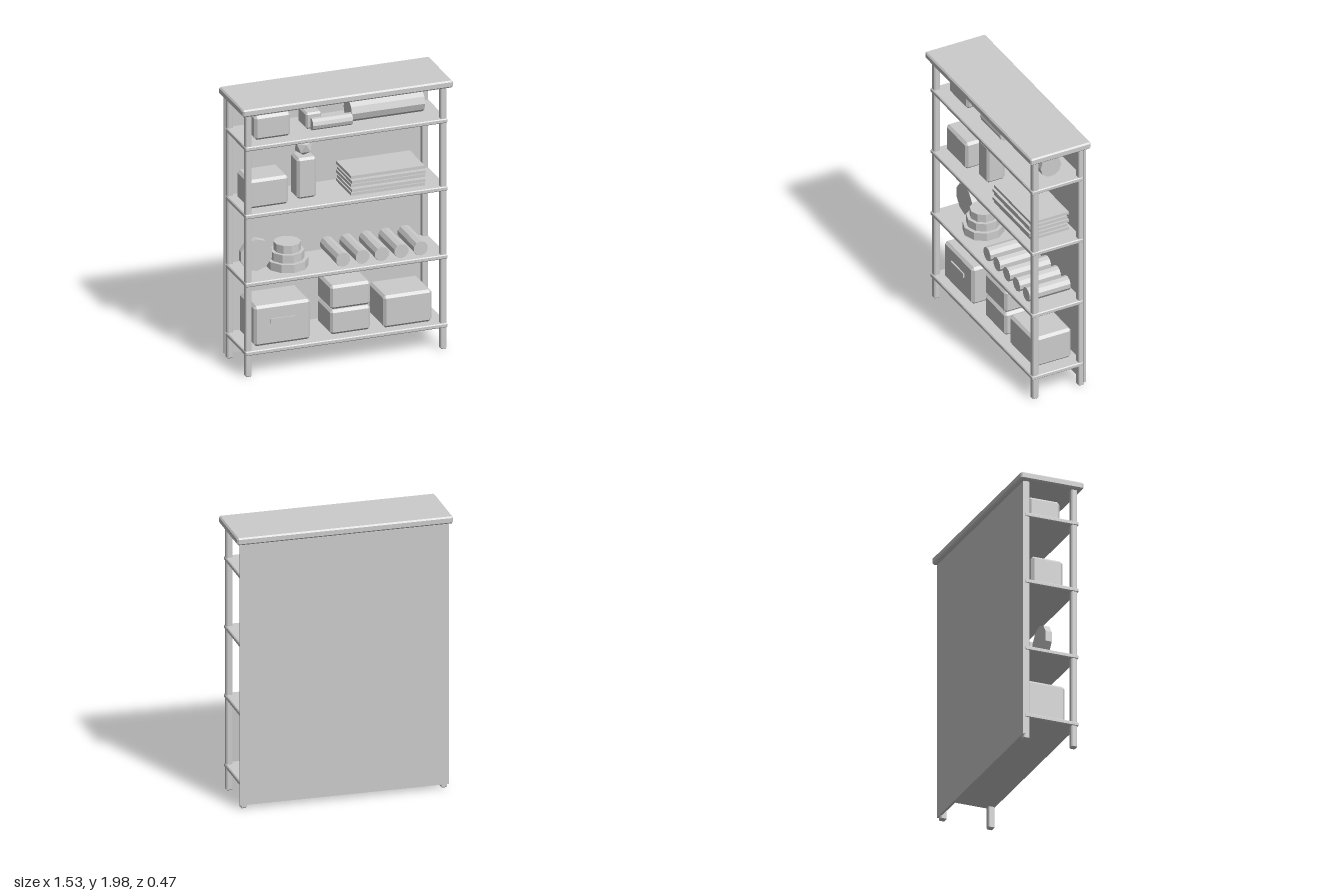
import * as THREE from 'three';
import { ConvexGeometry } from 'three/addons/geometries/ConvexGeometry.js';

export function createModel() {
  const group = new THREE.Group();
  const material = new THREE.MeshStandardMaterial({ color: 0xcccccc, flatShading: true });

  function add(name, geometry, x, y, z) {
    const mesh = new THREE.Mesh(geometry, material);
    mesh.name = name;
    mesh.position.set(x, y, z);
    group.add(mesh);
    return mesh;
  }

  // Box given by its limits on each axis, with chamfered edges (bevel 0 = plain box)
  function block(name, [x0, x1], [y0, y1], [z0, z1], bevel = 0) {
    const half = [(x1 - x0) / 2, (y1 - y0) / 2, (z1 - z0) / 2];
    let geometry;
    if (bevel === 0) {
      geometry = new THREE.BoxGeometry(half[0] * 2, half[1] * 2, half[2] * 2);
    } else {
      const points = [];
      for (const sx of [-1, 1]) for (const sy of [-1, 1]) for (const sz of [-1, 1]) {
        for (let full = 0; full < 3; full++) {
          const p = half.map((h, axis) => (axis === full ? h : h - bevel));
          points.push(new THREE.Vector3(p[0] * sx, p[1] * sy, p[2] * sz));
        }
      }
      geometry = new ConvexGeometry(points);
    }
    return add(name, geometry, (x0 + x1) / 2, (y0 + y1) / 2, (z0 + z1) / 2);
  }

  // Ten-sided cylinder along the chosen axis
  function drum(name, radius, length, axis, x, y, z) {
    const geometry = new THREE.CylinderGeometry(radius, radius, length, 10);
    if (axis === 'x') geometry.rotateZ(Math.PI / 2);
    if (axis === 'z') geometry.rotateX(Math.PI / 2);
    return add(name, geometry, x, y, z);
  }

  // Frame: top board, back panel, legs and shelves
  block('topBoard', [-0.765, 0.765], [1.948, 2], [-0.233, 0.233], 0.01);
  block('backPanel', [-0.74, 0.74], [0.045, 1.94], [-0.207, -0.19]);
  for (const sx of [-1, 1]) for (const sz of [-1, 1]) {
    const x = sx * 0.709, z = sz * 0.177;
    block(sz > 0 ? 'frontLeg' : 'backLeg', [x - 0.022, x + 0.022], [0.018, 1.955], [z - 0.022, z + 0.022], 0.006);
  }
  const shelfTops = [0.208, 0.713, 1.215, 1.714];
  for (const y of shelfTops) {
    block('shelf', [-0.735, 0.735], [y - 0.031, y], [-0.19, 0.207], 0.006);
  }
  const [s1, s2, s3, s4] = shelfTops;

  // Bottom shelf: storage boxes
  block('handledBox', [-0.648, -0.238], [s1, 0.503], [-0.147, 0.147], 0.018);
  block('boxHandle', [-0.535, -0.355], [0.368, 0.403], [0.14, 0.157]);
  block('lowerStackedBox', [-0.088, 0.204], [s1, 0.387], [-0.132, 0.132], 0.018);
  block('upperStackedBox', [-0.088, 0.204], [0.393, 0.567], [-0.132, 0.132], 0.018);
  block('rightHandBox', [0.292, 0.645], [s1, 0.443], [-0.147, 0.147], 0.018);

  // Second shelf: upright disc, three-tier stand and a row of rolls
  drum('uprightDisc', 0.117, 0.045, 'z', -0.587, s2 + 0.117, 0);
  [0.144, 0.118, 0.094].forEach((radius, i) => {
    drum('standTier', radius, 0.06, 'y', -0.355, s2 + 0.03 + i * 0.06, 0);
  });
  for (let i = 0; i < 5; i++) {
    drum('roll', 0.052, 0.316, 'z', -0.008 + i * 0.1415, s2 + 0.052, 0);
  }

  // Third shelf: box, tall block with a faceted ball, stack of sheets
  block('mediumBox', [-0.68, -0.386], [s3, 1.425], [-0.117, 0.117], 0.018);
  block('tallBlock', [-0.306, -0.166], [s3, 1.513], [-0.07, 0.07], 0.016);
  const ball = new THREE.IcosahedronGeometry(0.065, 0);
  ball.rotateX(-Math.atan((1 + Math.sqrt(5)) / 2)); // one corner points straight up
  add('facetedBall', ball, -0.238, 1.575, 0);
  for (let i = 0; i < 5; i++) {
    const y = s3 + 0.003 + i * 0.031, shift = i % 2 ? 0.006 : -0.006;
    block('sheet', [0.058, 0.594], [y, y + 0.021], [shift - 0.145, shift + 0.145]);
  }

  // Top shelf: box, small block, thin roll and thick roll
  block('smallBox', [-0.632, -0.372], [s4, 1.89], [-0.117, 0.117], 0.018);
  block('smallBlock', [-0.236, -0.122], [s4, 1.832], [-0.11, 0.05], 0.012);
  drum('thinRoll', 0.043, 0.29, 'x', -0.06, s4 + 0.042, 0.063);
  drum('thickRoll', 0.08, 0.533, 'x', 0.352, s4 + 0.078, 0);

  return group;
}
